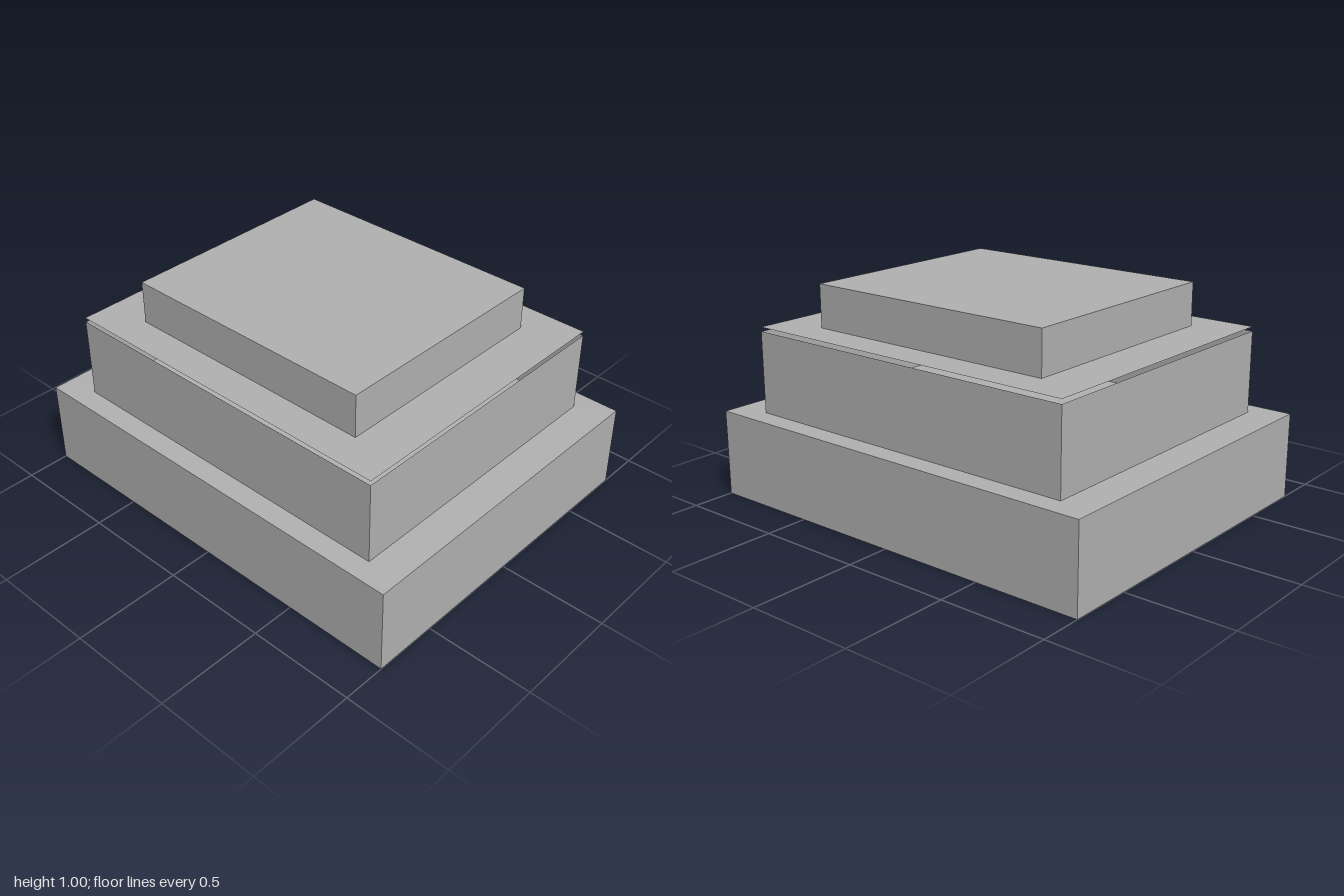
import * as THREE from 'three';

export function createModel() {
  const model = new THREE.Group();
  const grey = new THREE.MeshStandardMaterial({ color: 0xb2b2b2, side: THREE.DoubleSide });
  grey.name = 'plain grey';

  const add = (name, geometry, y, parent = model) => {
    const mesh = new THREE.Mesh(geometry, grey);
    mesh.name = name;
    mesh.position.y = y;
    parent.add(mesh);
    return mesh;
  };
  const addTier = (name, width, depth, bottom, top) =>
    add(name, new THREE.BoxGeometry(width, top - bottom, depth), (bottom + top) / 2);

  // Solid bottom and top tiers
  addTier('baseTier', 2, 1.6, 0, 0.4);
  addTier('topTier', 1.24, 1.08, 0.78, 1);

  // Middle tier: four thin walls, open at the top
  const width = 1.68, depth = 1.4, bottom = 0.4, top = 0.78;
  const walls = new THREE.Group();
  walls.name = 'middleTierWalls';
  model.add(walls);
  ['frontWall', 'leftWall', 'backWall', 'rightWall'].forEach((name, i) => {
    const [span, offset] = i % 2 ? [depth, width / 2] : [width, depth / 2];
    const wall = new THREE.PlaneGeometry(span, top - bottom);
    wall.translate(0, 0, offset).rotateY(i * Math.PI / 2);
    add(name, wall, (bottom + top) / 2, walls);
  });

  // Thin lid floating just above the walls, leaving a narrow gap
  add('middleTierLid', new THREE.PlaneGeometry(width, depth).rotateX(-Math.PI / 2), 0.8);

  return model;
}
